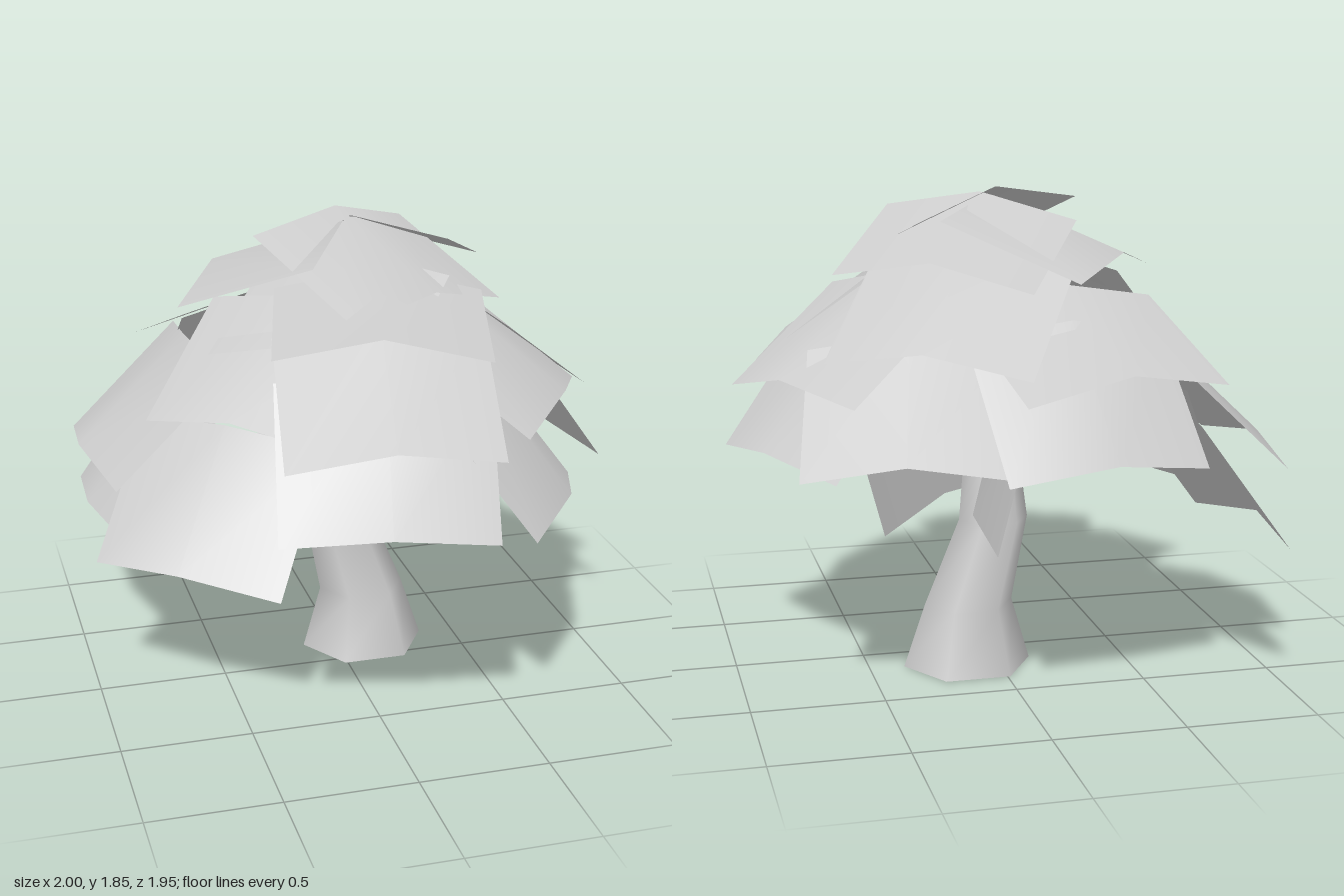
import * as THREE from 'three';
import { mergeVertices } from 'three/addons/utils/BufferGeometryUtils.js';

// Each leaf sheet: outer edge left x,y,z, outer edge right x,y,z, slope in degrees, length
const TOP_TIER = [
  [-0.43, 1.50, 0.60, 0.32, 1.49, 0.79, 9, 0.60],
  [0.65, 1.57, -0.35, 0.00, 1.53, -0.72, 19, 0.61],
  [-0.19, 1.55, -0.65, -0.64, 1.53, -0.03, 20, 0.58],
  [-0.11, 1.57, 0.51, 0.56, 1.53, 0.16, 22, 0.60],
];
const MIDDLE_TIER = [
  [-0.44, 1.16, 0.82, 0.32, 1.18, 0.95, 34, 0.60],
  [0.47, 1.18, 0.76, 0.88, 1.18, 0.14, 35, 0.60],
  [0.98, 1.11, 0.04, 0.62, 1.13, -0.62, 35, 0.60],
  [0.71, 1.28, -0.51, 0.05, 1.26, -0.91, 33, 0.60],
  [0.08, 1.18, -0.96, -0.69, 1.20, -0.82, 22, 0.64],
  [-0.81, 1.18, 0.20, -0.25, 1.18, 0.72, 35, 0.60],
  [-0.56, 1.39, 0.13, 0.02, 1.42, 0.62, 25, 0.55],
];
const LOWER_TIER = [
  [-0.47, 0.90, 0.84, 0.30, 0.88, 0.97, 53, 0.60],
  [0.45, 0.85, 0.92, 0.83, 0.83, 0.26, 50, 0.60],
  [1.00, 0.85, 0.16, 0.67, 0.83, -0.50, 50, 0.60],
  [0.83, 0.90, -0.71, 0.10, 0.91, -0.88, 40, 0.60],
  [0.15, 0.91, -0.98, -0.61, 0.91, -0.86, 48, 0.60],
  [-0.97, 0.85, -0.72, -0.91, 0.85, 0.05, 43, 0.60],
];
const SKIRT_TIER = [
  [-0.94, 0.58, -0.83, -0.85, 0.56, -0.07, 53, 0.60],
  [-1.00, 0.58, 0.07, -0.40, 0.56, 0.57, 52, 0.60],
  [-0.31, 0.72, 0.20, 0.28, 0.69, -0.04, 62, 0.55],
  [0.00, 0.70, -0.10, 0.115, 0.575, -0.67, 78, 0.55],
  [-0.12, 0.74, -0.10, 0.44, 0.54, -0.19, 75, 0.50],
];

// Trunk rings: x, y, z, radius
const TRUNK = [
  [0.115, 0, -0.16, 0.25],
  [0.11, 0.25, -0.165, 0.172],
  [0.01, 0.58, -0.16, 0.135],
  [0.02, 0.95, -0.155, 0.095],
  [0.0, 1.35, -0.12, 0.065],
  [0.0, 1.7, -0.1, 0.03],
];

// Sheet with a raised middle line, rising inward at right angles to its outer edge
function leafSheet([lx, ly, lz, rx, ry, rz, slope, length]) {
  const left = new THREE.Vector3(lx, ly, lz);
  const across = new THREE.Vector3(rx, ry, rz).sub(left);
  const angle = THREE.MathUtils.degToRad(slope);
  const up = new THREE.Vector3(across.z, 0, -across.x).normalize().multiplyScalar(Math.cos(angle));
  up.y = Math.sin(angle);
  up.projectOnPlane(across.clone().normalize()).normalize();
  const normal = across.clone().cross(up).normalize();
  const geometry = new THREE.PlaneGeometry(1, 1, 2, 1);
  const pos = geometry.attributes.position;
  for (let i = 0; i < pos.count; i++) {
    const t = pos.getX(i) + 0.5;
    const s = pos.getY(i) + 0.5;
    const p = left.clone().addScaledVector(across, t).addScaledVector(up, s * length);
    p.addScaledVector(normal, 0.085 * (1 - Math.abs(2 * t - 1)));
    pos.setXYZ(i, p.x, p.y, p.z);
  }
  geometry.computeVertexNormals();
  return geometry;
}

// Open six-sided tube that follows the trunk rings
function trunkGeometry() {
  const rows = TRUNK.length - 1;
  let geometry = new THREE.CylinderGeometry(1, 1, 1, 6, rows, true);
  geometry.rotateY(Math.PI / 2);
  const pos = geometry.attributes.position;
  for (let i = 0; i < pos.count; i++) {
    const [x, y, z, r] = TRUNK[Math.round((pos.getY(i) + 0.5) * rows)];
    pos.setXYZ(i, x + pos.getX(i) * r, y, z + pos.getZ(i) * r * 0.93);
  }
  geometry.deleteAttribute('uv');
  geometry.deleteAttribute('normal');
  geometry = mergeVertices(geometry);
  geometry.computeVertexNormals();
  return geometry;
}

export function createModel() {
  const tree = new THREE.Group();
  tree.name = 'tree';
  const grey = new THREE.MeshStandardMaterial({ color: 0xcccccc, side: THREE.DoubleSide });
  grey.name = 'lightGrey';

  const trunk = new THREE.Mesh(trunkGeometry(), grey);
  trunk.name = 'trunk';
  tree.add(trunk);

  // Crown, tier by tier
  const tiers = { topLeaves: TOP_TIER, middleLeaves: MIDDLE_TIER, lowerLeaves: LOWER_TIER, skirtLeaves: SKIRT_TIER };
  for (const [name, sheets] of Object.entries(tiers)) {
    const tier = new THREE.Group();
    tier.name = name;
    for (const sheet of sheets) {
      const mesh = new THREE.Mesh(leafSheet(sheet), grey);
      mesh.name = 'leafSheet';
      tier.add(mesh);
    }
    tree.add(tier);
  }
  return tree;
}
